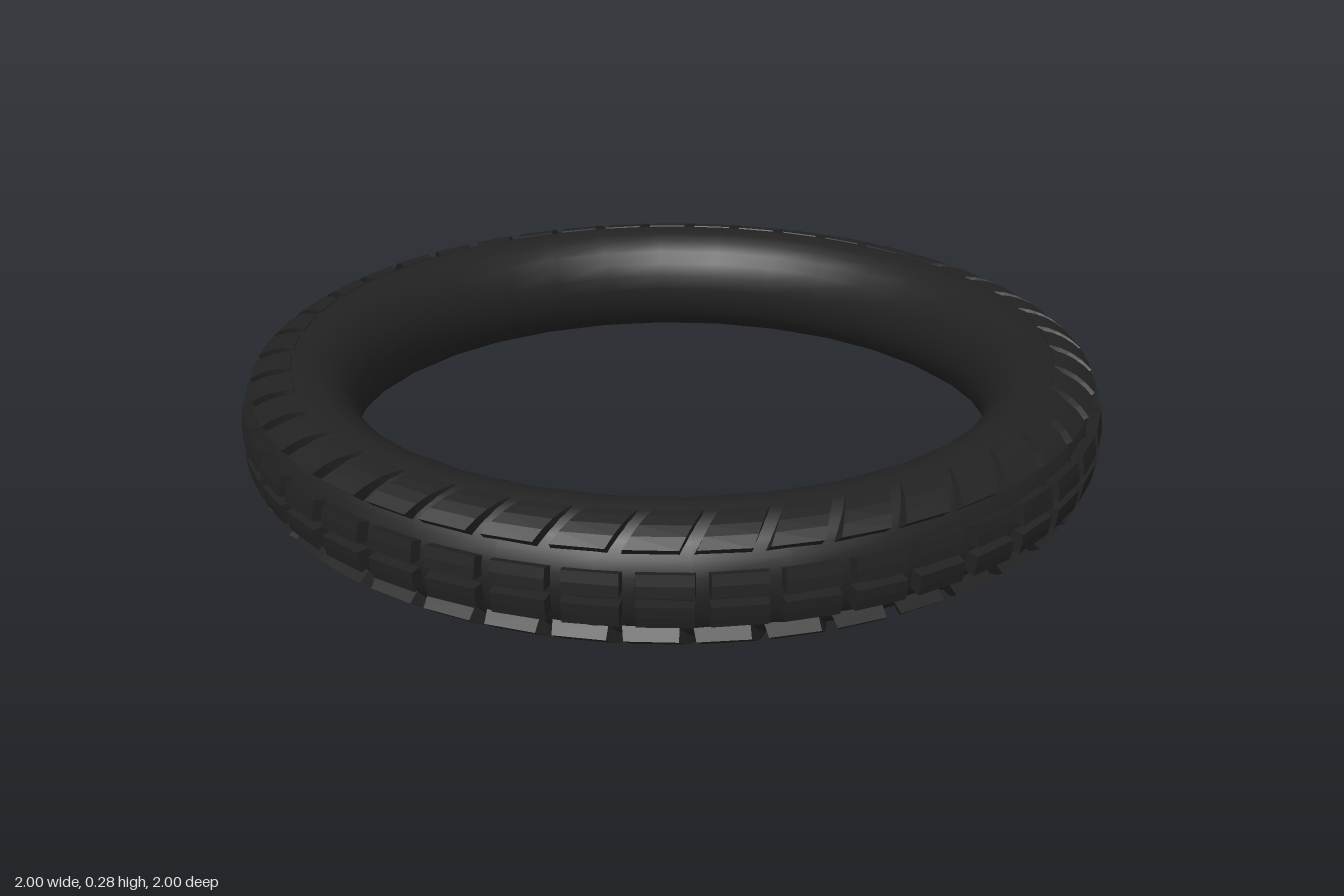
import * as THREE from 'three';

const MAJOR = 0.857, WIDE = 0.122, HIGH = 0.138; // ring radius and section half-sizes
const COUNT = 44, PITCH = (Math.PI * 2) / COUNT;
const rad = THREE.MathUtils.degToRad;

// Point on the tyre section at angle phi, raised by h, swung to angle theta
function surfacePoint(phi, theta, h) {
  const r = MAJOR + (WIDE + h) * Math.cos(phi);
  return [r * Math.cos(theta), (HIGH + h) * Math.sin(phi), r * Math.sin(theta)];
}

// One row of raised blocks round the tyre; side is 1 (upper) or -1 (lower)
function blockRow({ from, to, hFrom, hTo, skew, fill, steps }, side) {
  const pos = [];
  const quad = (a, b, c, d) => {
    const order = side > 0 ? [a, b, c, a, c, d] : [a, c, b, a, d, c];
    order.forEach((p) => pos.push(...p));
  };
  const base = -0.012, half = (PITCH * fill) / 2;
  for (let n = 0; n < COUNT; n++) {
    const mid = rad(88.9) + (n + 0.5) * PITCH;
    // Edge points: end is -1 or 1 along the row, t runs across the block
    const at = (t, end, top) => {
      const inset = top ? 0.93 : 1;
      const tt = 0.5 + (t - 0.5) * inset;
      const phi = rad(THREE.MathUtils.lerp(from, to, tt)) * side;
      const h = top ? THREE.MathUtils.lerp(hFrom, hTo, tt) : base;
      return surfacePoint(phi, mid + end * half * inset - skew * (tt - 0.5), h);
    };
    for (let i = 0; i < steps; i++) {
      const t0 = i / steps, t1 = (i + 1) / steps;
      quad(at(t0, -1, true), at(t1, -1, true), at(t1, 1, true), at(t0, 1, true));
      quad(at(t0, -1, false), at(t1, -1, false), at(t1, -1, true), at(t0, -1, true));
      quad(at(t0, 1, true), at(t1, 1, true), at(t1, 1, false), at(t0, 1, false));
    }
    quad(at(0, -1, false), at(0, -1, true), at(0, 1, true), at(0, 1, false));
    quad(at(1, -1, true), at(1, -1, false), at(1, 1, false), at(1, 1, true));
  }
  const geo = new THREE.BufferGeometry();
  geo.setAttribute('position', new THREE.Float32BufferAttribute(pos, 3));
  geo.computeVertexNormals();
  return geo;
}

export function createModel() {
  const model = new THREE.Group();
  model.name = 'tyre';
  const rubber = new THREE.MeshStandardMaterial({ color: 0x222222 });
  rubber.name = 'black rubber';

  const add = (name, geo) => {
    const mesh = new THREE.Mesh(geo, rubber);
    mesh.name = name;
    mesh.position.y = HIGH;
    model.add(mesh);
  };

  // Smooth tyre body lying flat
  const body = new THREE.TorusGeometry(MAJOR, WIDE, 24, 32);
  body.rotateX(Math.PI / 2);
  body.scale(1, HIGH / WIDE, 1);
  add('carcass', body);

  // Twin centre rows and slanted shoulder rows, mirrored about the middle
  const centre = { from: 3, to: 21, hFrom: 0.022, hTo: 0.024, skew: 0, fill: 0.84, steps: 2 };
  const shoulder = { from: 35, to: 79, hFrom: 0.028, hTo: 0.001, skew: 0.06, fill: 0.82, steps: 4 };
  for (const [side, label] of [[1, 'upper'], [-1, 'lower']]) {
    add(label + 'CentreBlocks', blockRow(centre, side));
    add(label + 'ShoulderBlocks', blockRow(shoulder, side));
  }
  return model;
}
